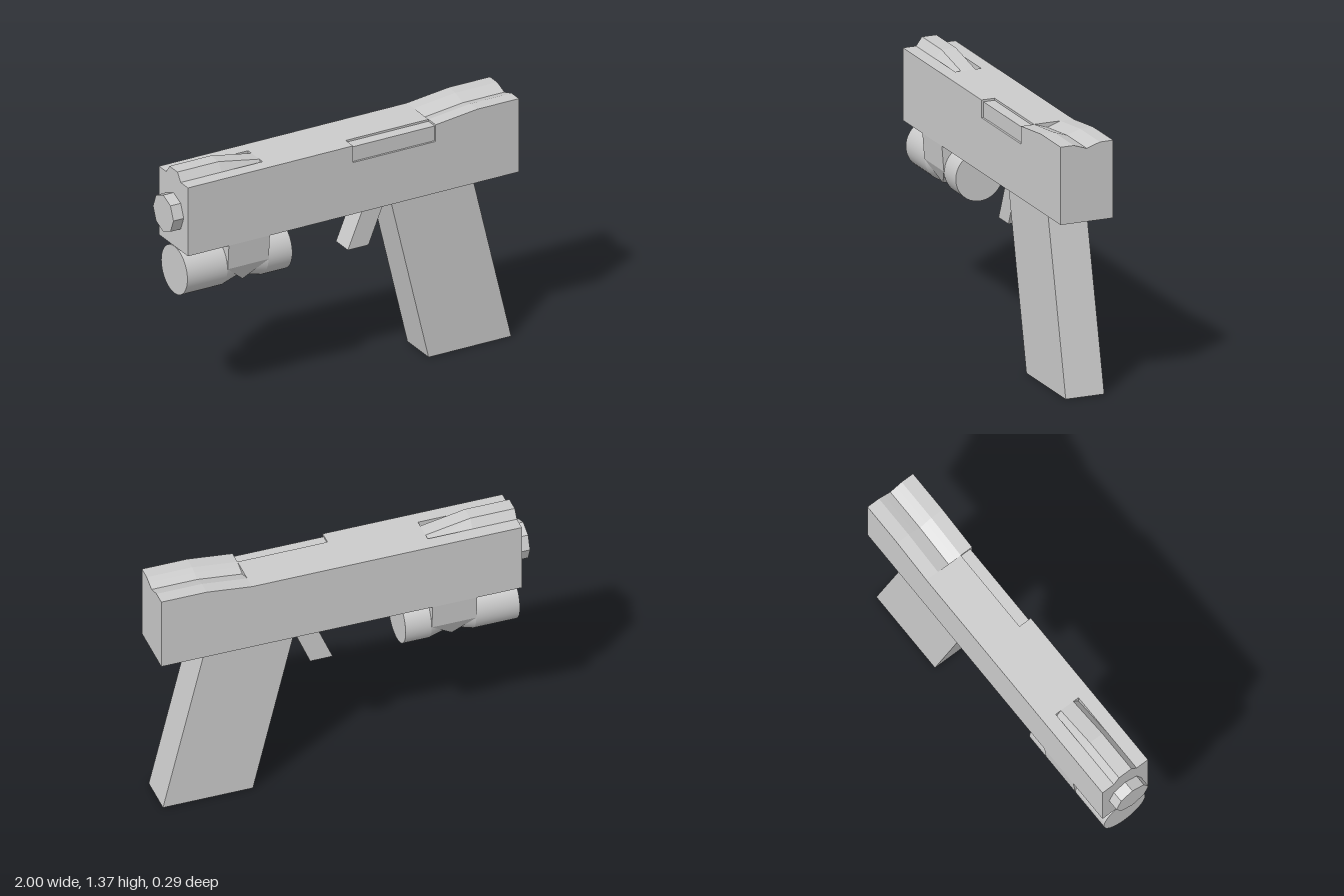
import * as THREE from 'three';

const material = new THREE.MeshStandardMaterial({ color: 0xcccccc });
const flatMaterial = new THREE.MeshStandardMaterial({ color: 0xcccccc, flatShading: true });

function addMesh(group, name, geometry, mat = flatMaterial) {
  const mesh = new THREE.Mesh(geometry, mat);
  mesh.name = name;
  group.add(mesh);
}

// Joins rings of points, counterclockwise about the axis ('x' or 'y'),
// with flat faces and caps both ends.
function loft(rings, axis) {
  const positions = [];
  const tri = (a, b, c) => {
    if (new THREE.Triangle(a, b, c).getArea() < 1e-7) return;
    for (const p of [a, b, c]) positions.push(p.x, p.y, p.z);
  };
  const n = rings[0].length;
  for (let i = 0; i < rings.length - 1; i++) {
    for (let j = 0; j < n; j++) {
      const k = (j + 1) % n;
      const a = rings[i][j], b = rings[i][k], c = rings[i + 1][k], d = rings[i + 1][j];
      tri(a, b, d);
      tri(b, c, d);
    }
  }
  // Each cap triangle is turned to face along its end of the axis.
  const cap = (ring, direction) => {
    const outline = ring.map((p) => new THREE.Vector2(axis === 'x' ? p.y : p.x, p.z));
    const normal = new THREE.Vector3();
    for (const face of THREE.ShapeUtils.triangulateShape(outline, [])) {
      const [a, b, c] = face.map((i) => ring[i]);
      THREE.Triangle.getNormal(a, b, c, normal);
      if (normal[axis] * direction > 0) tri(a, b, c);
      else tri(a, c, b);
    }
  };
  cap(rings[0], -1);
  cap(rings[rings.length - 1], 1);
  const geometry = new THREE.BufferGeometry();
  geometry.setAttribute('position', new THREE.Float32BufferAttribute(positions, 3));
  geometry.computeVertexNormals();
  return geometry;
}

// Slide cross-section at x: shoulder height, then heights of the central
// ridge or groove at its foot, flank and middle; port recesses the +z corner.
function slideRing(x, shoulder, foot, flank, middle, port = false) {
  const h = 0.146, w = 0.073, f = 0.04;
  const side = port ? 0.135 : h;
  const corner = port ? 1.311 : shoulder;
  return [
    [shoulder, -h], [shoulder, -w], [foot, -w], [flank, -f], [middle, 0], [flank, f],
    [foot, w], [shoulder, w], [corner, w], [corner, side], [1.228, side], [1.228, h],
    [0.937, h], [0.937, -h],
  ].map(([y, z]) => new THREE.Vector3(x, y, z));
}

function slideGeometry() {
  const top = 1.322;
  const flat = (x, port) => slideRing(x, top, top, top, top, port);
  const groove = (x, y) => slideRing(x, y, y, y - 0.011, y - 0.025);
  return loft([
    slideRing(-0.94, top, top, 1.367, 1.367),
    slideRing(-0.70, top, top, 1.367, 1.367),
    slideRing(-0.46, top, 1.275, top, top),
    flat(-0.46), flat(0.027), flat(0.027, true), flat(0.512, true),
    groove(0.512, top), groove(0.755, 1.35), groove(1, 1.35),
  ], 'x');
}

// Slanted bar with a parallelogram side, centred on z.
function slantedBar(corners, depth) {
  const shape = new THREE.Shape(corners.map(([x, y]) => new THREE.Vector2(x, y)));
  return new THREE.ExtrudeGeometry(shape, { depth, bevelEnabled: false }).translate(0, 0, -depth / 2);
}

// Rectangular ring at height y for the light bracket.
function bracketRing(y, x0, x1, z) {
  return [[x0, -z], [x0, z], [x1, z], [x1, -z]].map(([x, zz]) => new THREE.Vector3(x, y, zz));
}

export function createModel() {
  const model = new THREE.Group();
  model.name = 'pistol';

  // Slide with front sight ridge, side port and rear sight groove
  addMesh(model, 'slide', slideGeometry());

  // Octagonal muzzle
  const muzzle = new THREE.CylinderGeometry(0.103, 0.103, 0.08, 8);
  muzzle.rotateZ(Math.PI / 2).translate(-0.96, 1.132, 0);
  addMesh(model, 'muzzle', muzzle);

  // Grip and trigger
  addMesh(model, 'grip', slantedBar([[0.493, 0], [0.977, 0], [0.753, 0.94], [0.27, 0.94]], 0.214));
  addMesh(model, 'trigger', slantedBar([[0.047, 0.693], [0.168, 0.693], [0.27, 0.94], [0.15, 0.94]], 0.12));

  // Under-barrel light: a waisted cylinder built in smooth sections
  const light = new THREE.Group();
  light.name = 'light';
  const r = 0.132, waist = 0.1;
  const sections = [[-0.935, -0.70, r, r], [-0.70, -0.585, waist, r],
    [-0.585, -0.46, r, waist], [-0.46, -0.32, r, r]];
  sections.forEach(([x0, x1, rRight, rLeft], i) => {
    const tube = new THREE.CylinderGeometry(rLeft, rRight, x1 - x0, 48, 1, i === 1 || i === 2);
    tube.rotateZ(Math.PI / 2).translate((x0 + x1) / 2, 0.799, 0);
    addMesh(light, 'lightSection', tube, material);
  });
  model.add(light);

  // Bracket tapering to a pointed foot under the light
  addMesh(model, 'lightBracket', loft([
    bracketRing(0.70, -0.587, -0.582, 0.085),
    bracketRing(0.80, -0.70, -0.46, 0.135),
    bracketRing(0.94, -0.70, -0.46, 0.146),
  ], 'y'));

  return model;
}
